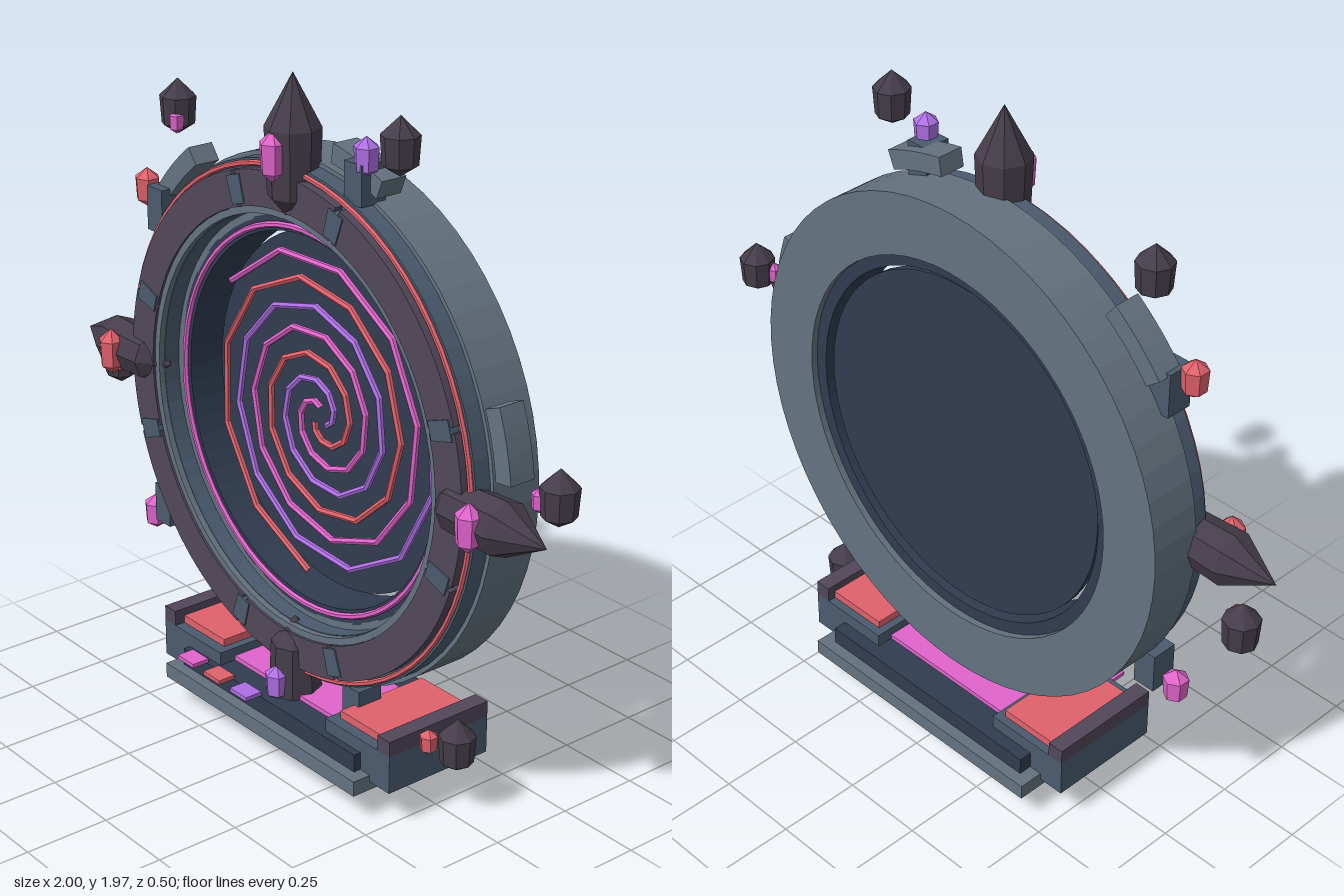
import * as THREE from 'three';

const mat = (color) => new THREE.MeshStandardMaterial({ color, flatShading: true });
const slate = mat(0x64727f), steel = mat(0x4a5b6e), navy = mat(0x303c50), plum = mat(0x51475a);
const darkStone = mat(0x453d4a), pink = mat(0xe065cc), red = mat(0xe0626c), violet = mat(0xb070e6);

const CENTER = 1.0; // height of the ring's middle
const rad = THREE.MathUtils.degToRad;

function add(parent, name, geometry, material, x = 0, y = 0, z = 0) {
  const mesh = new THREE.Mesh(geometry, material);
  mesh.name = name;
  mesh.position.set(x, y, z);
  parent.add(mesh);
  return mesh;
}

// Box given by its limits on each axis
function block(parent, name, material, [x0, x1], [y0, y1], [z0, z1]) {
  return add(parent, name, new THREE.BoxGeometry(x1 - x0, y1 - y0, z1 - z0), material,
    (x0 + x1) / 2, (y0 + y1) / 2, (z0 + z1) / 2);
}

// Full annulus, extruded from z0 to z1
function annulus(parent, name, material, inner, outer, z0, z1) {
  const profile = [[inner, z0], [outer, z0], [outer, z1], [inner, z1], [inner, z0]]
    .map(([r, z]) => new THREE.Vector2(r, z));
  const geo = new THREE.LatheGeometry(profile, 64).rotateX(Math.PI / 2);
  // the turned profile runs towards -z, so mirror it and flip the winding
  geo.scale(1, 1, -1);
  const idx = geo.index.array;
  for (let i = 0; i < idx.length; i += 3) [idx[i], idx[i + 1]] = [idx[i + 1], idx[i]];
  geo.rotateY(Math.PI);
  const mesh = add(parent, name, geo, material);
  mesh.material = material.clone();
  mesh.material.side = THREE.DoubleSide;
  return mesh;
}

// Part of an annulus between two angles in degrees
function arc(parent, name, material, inner, outer, a0, a1, z0, z1, steps = 8) {
  const shape = new THREE.Shape();
  shape.absarc(0, 0, outer, rad(a0), rad(a1), false);
  shape.absarc(0, 0, inner, rad(a1), rad(a0), true);
  const geo = new THREE.ExtrudeGeometry(shape, { depth: z1 - z0, bevelEnabled: false, curveSegments: steps });
  return add(parent, name, geo, material, 0, 0, z0);
}

// Pointed crystal along y, centred on its middle
function crystalGeometry(radius, length, topTaper, bottomTaper, sides) {
  const h = length / 2;
  const profile = [[0, -h], [radius * 0.9, -h + bottomTaper], [radius, h - topTaper], [0, h]];
  return new THREE.LatheGeometry(profile.map(([r, y]) => new THREE.Vector2(r, y)), sides);
}

function glowCrystal(parent, material, x, y, z, radius, length) {
  return add(parent, 'glowCrystal', crystalGeometry(radius, length, length * 0.25, length * 0.2, 6), material, x, y, z);
}

// Spiral that widens counterclockwise, sampled evenly by angle
class Spiral extends THREE.Curve {
  constructor(endAngle) {
    super();
    this.endAngle = endAngle;
  }
  getPoint(t, target = new THREE.Vector3()) {
    const r = 0.03 + 0.46 * t;
    const a = rad(this.endAngle) - (1 - t) * 2.15 * Math.PI * 2;
    return target.set(r * Math.cos(a), r * Math.sin(a), 0);
  }
  getUtoTmapping(u) {
    return u;
  }
}

function buildRing() {
  const ring = new THREE.Group();
  ring.name = 'ring';
  ring.position.y = CENTER;

  // Frame layers
  annulus(ring, 'rearFrame', slate, 0.57, 0.75, -0.105, 0.05);
  annulus(ring, 'frontFrame', steel, 0.59, 0.738, 0.05, 0.1);
  annulus(ring, 'innerLip', slate, 0.592, 0.612, 0.09, 0.118);
  annulus(ring, 'liner', navy, 0.532, 0.575, -0.085, 0.05);
  add(ring, 'outerGlowBand', new THREE.TorusGeometry(0.725, 0.008, 6, 64), red, 0, 0, 0.104);
  add(ring, 'innerGlowBand', new THREE.TorusGeometry(0.549, 0.009, 6, 64), pink, 0, 0, 0.055);

  // Dark face plates with clamps between them
  const joints = [18, 72, 108, 162, 198, 252, 288, 342];
  joints.forEach((a, i) => {
    const next = i < 7 ? joints[i + 1] : 378;
    arc(ring, 'facePlate', plum, 0.612, 0.712, a + 0.7, next - 0.7, 0.098, 0.125, 16);
    arc(ring, 'clamp', steel, 0.62, 0.7, a - 2.4, a + 2.4, 0.1, 0.129, 2);
  });

  // Portal disc and its three spiral arms
  const disc = new THREE.CylinderGeometry(0.516, 0.516, 0.02, 64).rotateX(Math.PI / 2);
  add(ring, 'portalDisc', disc, navy, 0, 0, -0.06);
  [[264, red], [144, pink], [24, violet]].forEach(([angle, m]) =>
    add(ring, 'spiralArm', new THREE.TubeGeometry(new Spiral(angle), 24, 0.01, 6), m, 0, 0, 0));

  // Curved plates floating outside the rim
  [[7, 21], [67, 81], [127, 142]].forEach(([a0, a1]) =>
    arc(ring, 'floatingPlate', slate, 0.775, 0.83, a0, a1, -0.015, 0.065, 4));

  // Four large crystals, pointing outwards
  for (let i = 0; i < 4; i++) {
    const a = i * Math.PI / 2;
    const m = add(ring, 'largeCrystal', crystalGeometry(0.077, 0.41, 0.145, 0.08, 8), darkStone,
      -Math.sin(a) * 0.78, Math.cos(a) * 0.78, 0.092);
    m.rotation.z = a;
  }
  glowCrystal(ring, pink, 0, 0.772, 0.158, 0.038, 0.145);
  glowCrystal(ring, red, -0.775, 0, 0.158, 0.038, 0.14);
  glowCrystal(ring, pink, 0.775, 0, 0.158, 0.038, 0.14);
  glowCrystal(ring, violet, 0, -0.765, 0.158, 0.036, 0.11);
  return ring;
}

function buildBase() {
  const base = new THREE.Group();
  base.name = 'base';
  block(base, 'footSlab', slate, [-0.43, 0.43], [0.095, 0.14], [-0.25, 0.235]);
  block(base, 'plinth', navy, [-0.39, 0.39], [0.12, 0.192], [-0.215, 0.2]);
  block(base, 'centerGlowPanel', pink, [-0.26, 0.26], [0.18, 0.206], [-0.125, 0.125]);

  // Side blocks, mirrored
  for (const s of [-1, 1]) {
    const span = (a, b) => (s > 0 ? [a, b] : [-b, -a]);
    block(base, 'sideBlock', steel, span(0.24, 0.51), [0.12, 0.232], [-0.175, 0.178]);
    block(base, 'endCap', plum, span(0.46, 0.51), [0.232, 0.278], [-0.175, 0.178]);
    block(base, 'sideGlowPanel', red, span(0.265, 0.46), [0.23, 0.255], [-0.15, 0.145]);
  }

  // Key plates along the front
  [pink, red, violet].forEach((m, i) => {
    const x = -0.35 + i * 0.125;
    block(base, 'keyPlate', m, [x, x + 0.075], [0.193, 0.205], [0.195, 0.25]);
  });
  return base;
}

export function createModel() {
  const model = new THREE.Group();
  model.name = 'portalGate';
  model.add(buildRing(), buildBase());

  // Floating dark crystals: x, y, z
  [[-0.565, 1.765, 0.05], [0.385, 1.87, 0.058], [0.95, 1.105, 0.02],
    [-0.95, 0.89, 0.008], [0.565, 0.225, -0.015], [-0.385, 0.12, -0.02]].forEach(([x, y, z]) =>
    add(model, 'floatingCrystal', crystalGeometry(0.052, 0.158, 0.05, 0.03, 8), darkStone, x, y, z));

  // Small shards beside the floating crystals
  [[pink, -0.54, 1.73, 0.075], [pink, 0.905, 1.09, 0.045], [red, -0.915, 0.895, 0.035]].forEach(([m, x, y, z]) =>
    glowCrystal(model, m, x, y, z, 0.022, 0.07));

  // Rim brackets and the glowing crystals next to them
  [[-0.627, 1.455, 0.13], [0.245, 1.745, 0.11], [-0.627, 0.54, 0.12], [0.248, 0.25, 0.1]].forEach(([x, y, h]) =>
    add(model, 'bracket', new THREE.BoxGeometry(0.07, h, 0.08), steel, x, y, 0.055));
  glowCrystal(model, red, -0.695, 1.503, 0.07, 0.037, 0.115);
  glowCrystal(model, violet, 0.265, 1.815, 0.067, 0.035, 0.11);
  glowCrystal(model, pink, -0.695, 0.49, 0.07, 0.037, 0.11);
  glowCrystal(model, red, 0.545, 0.257, 0.07, 0.026, 0.075);
  return model;
}
